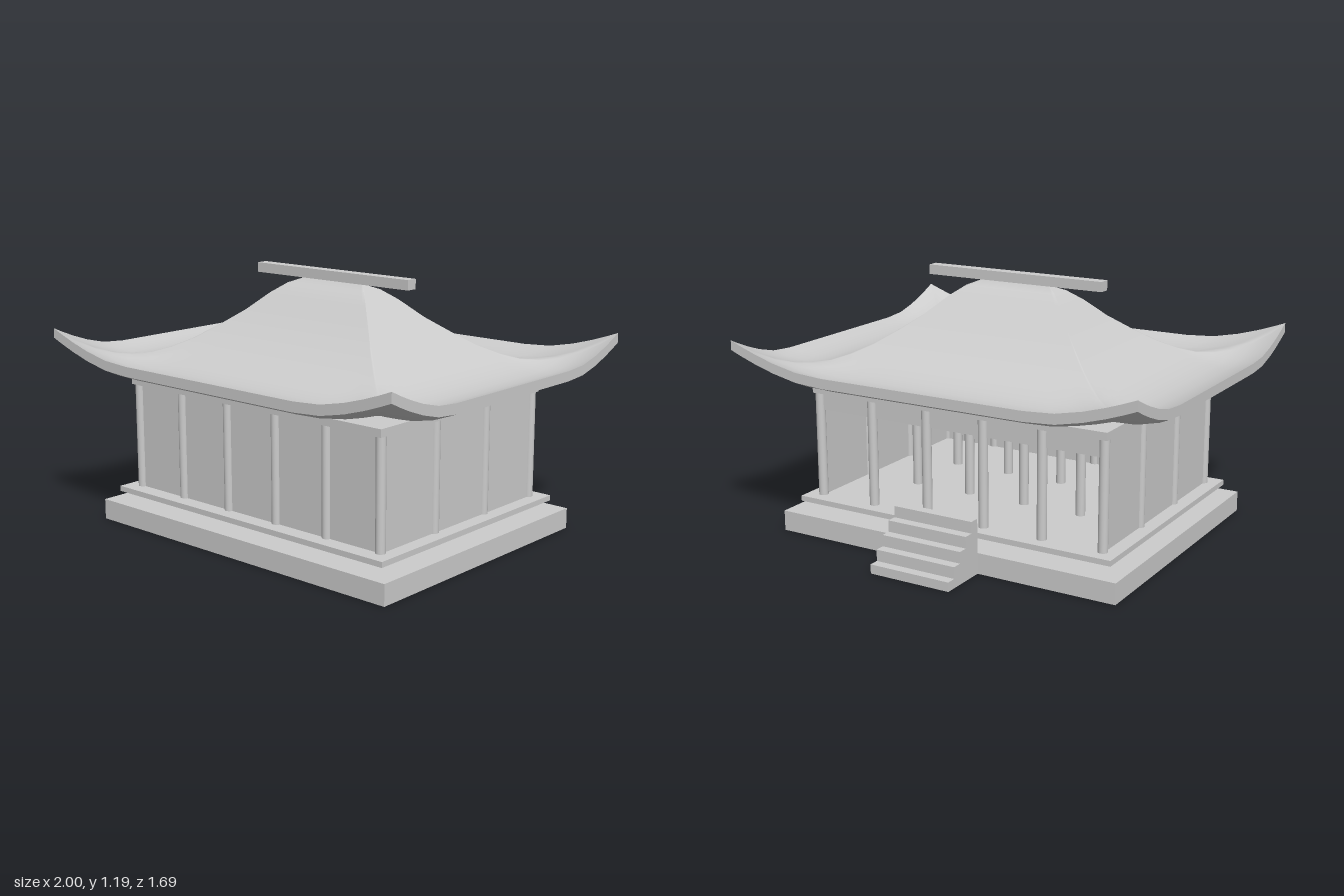
import * as THREE from 'three';
import { toCreasedNormals } from 'three/addons/utils/BufferGeometryUtils.js';

const ZC = 0.04; // the hall sits slightly forward of the stairs

export function createModel() {
  const model = new THREE.Group();
  const material = new THREE.MeshStandardMaterial({ color: 0xcccccc });
  const roofMaterial = new THREE.MeshStandardMaterial({ color: 0xcccccc, side: THREE.DoubleSide });

  const add = (name, geometry, mat = material) => {
    const mesh = new THREE.Mesh(geometry, mat);
    mesh.name = name;
    model.add(mesh);
    return mesh;
  };
  // Box given by its limits on each axis
  const box = (name, x0, x1, y0, y1, z0, z1) =>
    add(name, new THREE.BoxGeometry(x1 - x0, y1 - y0, z1 - z0))
      .position.set((x0 + x1) / 2, (y0 + y1) / 2, (z0 + z1) / 2);

  // Plinth, raised floor and ceiling frame
  box('plinth', -0.855, 0.855, 0, 0.095, -0.62, 0.7);
  box('floor', -0.8, 0.8, 0.135, 0.16, -0.56, 0.65);
  box('ceilingFrame', -0.75, 0.75, 0.65, 0.685, -0.51, 0.6);

  // Walls on three sides, with a lintel over the open back
  box('frontWall', -0.727, 0.727, 0.16, 0.65, 0.56, 0.575);
  for (const s of [-1, 1]) {
    box('sideWall', s * 0.727 - 0.007, s * 0.727 + 0.007, 0.16, 0.65, -0.485, 0.57);
  }
  box('backLintel', -0.727, 0.727, 0.57, 0.65, -0.49, -0.475);

  // Grid of columns: outer rows and the inner ones
  const columnGeometry = new THREE.CylinderGeometry(0.022, 0.022, 0.49, 20);
  for (let i = 0; i < 6; i++) {
    for (let j = 0; j < 4; j++) {
      add('column', columnGeometry)
        .position.set(-0.727 + i * 0.2908, 0.405, -0.485 + j * 0.352);
    }
  }

  // Back stairs
  for (let i = 0; i < 5; i++) {
    const z = -0.62 - i * 0.046;
    box('step', -0.198, 0.198, 0, 0.25 - i * 0.052, z - 0.046, z);
  }

  // Curved hip roof and ridge beam
  add('roof', roofGeometry(), roofMaterial);
  box('ridgeBeam', -0.45, 0.45, 1.145, 1.19, 0.012, 0.066);
  return model;
}

// Rectangular rings from ridge to eave, round the rim and back underneath
function roofGeometry() {
  const slope = [[0, 1.145], [0.07, 1.12], [0.14, 1.075], [0.24, 0.995], [0.34, 0.93], [0.45, 0.865],
    [0.54, 0.825], [0.62, 0.795], [0.7, 0.776], [0.78, 0.766], [0.86, 0.768], [0.94, 0.782], [1, 0.802]];
  const profile = [
    ...slope.map(([t, y]) => [t, y]),
    ...slope.slice().reverse().map(([t, y]) => [t, y - 0.045]),
  ];
  const N = 18; // segments per side
  const corners = [[-1, 1], [1, 1], [1, -1], [-1, -1]];
  const positions = [];
  const index = [];

  for (const [t, y] of profile) {
    for (let side = 0; side < 4; side++) {
      const [ax, az] = corners[side];
      const [bx, bz] = corners[(side + 1) % 4];
      for (let k = 0; k < N; k++) {
        const f = Math.sin((k / N - 0.5) * Math.PI) * 0.5 + 0.5; // denser at the corners
        const x = (ax + (bx - ax) * f) * (0.17 + 0.83 * t);
        const z = (az + (bz - az) * f) * 0.802 * t;
        // Corners sweep upward
        const u = Math.min(Math.abs(x), Math.abs(z) / 0.802);
        const lift = 0.113 * Math.pow(Math.max(0, (u - 0.55) / 0.45), 1.6);
        positions.push(x, y + lift, z + ZC);
      }
    }
  }

  const M = 4 * N;
  for (let r = 0; r < profile.length - 1; r++) {
    for (let k = 0; k < M; k++) {
      const a = r * M + k, b = r * M + (k + 1) % M;
      index.push(a, a + M, b, b, a + M, b + M);
    }
  }
  const geometry = new THREE.BufferGeometry();
  geometry.setAttribute('position', new THREE.Float32BufferAttribute(positions, 3));
  geometry.setIndex(index);
  return toCreasedNormals(geometry, 0.9);
}
